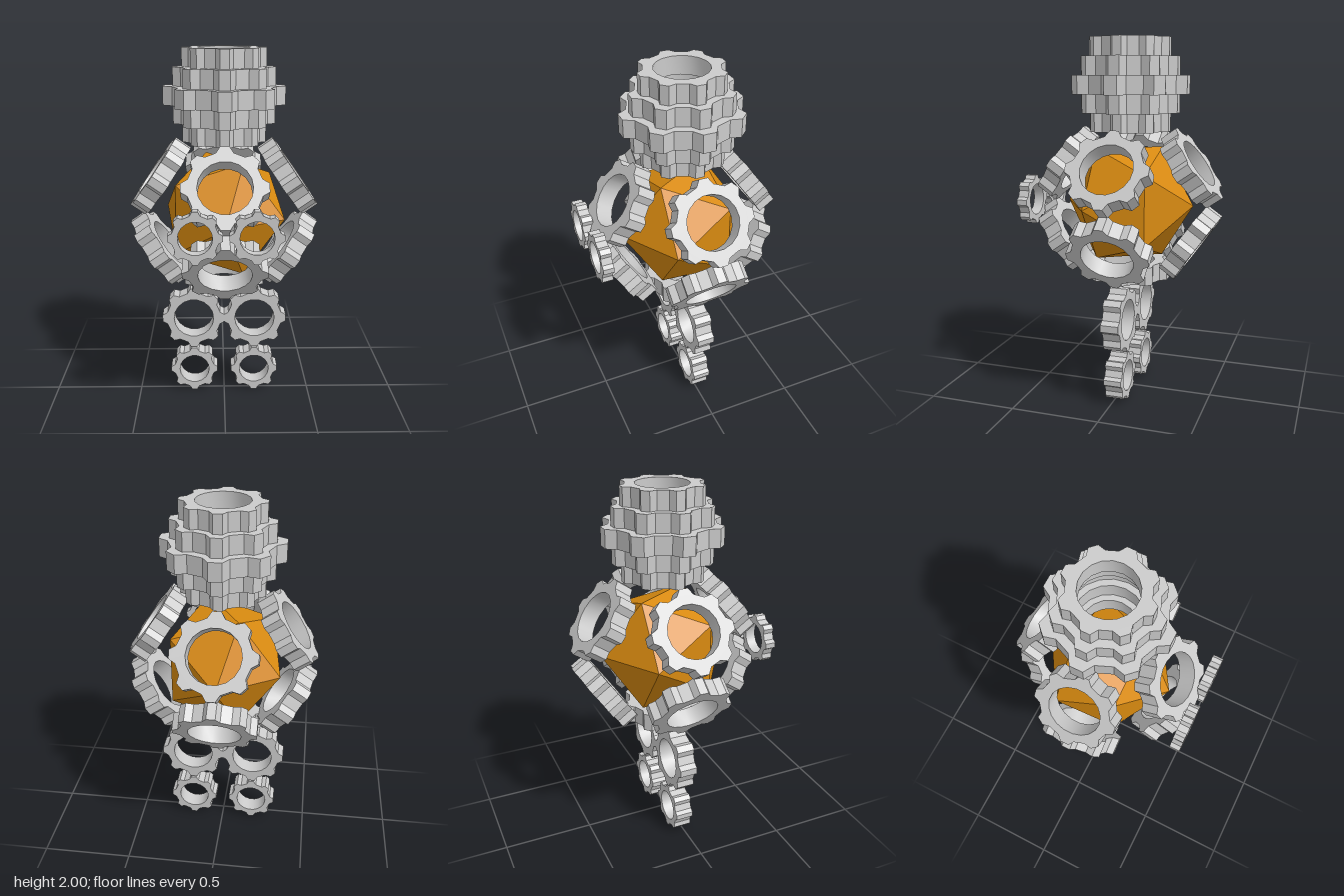
import * as THREE from 'three';
import { toCreasedNormals } from 'three/addons/utils/BufferGeometryUtils.js';

const grey = new THREE.MeshStandardMaterial({ color: 0xcccccc });
const orange = new THREE.MeshStandardMaterial({ color: 0xd88a10, flatShading: true });
const TEETH = 8;
const CY = 1.097, CZ = -0.018; // centre of the body

// Ring gear lying in the XY plane, its thickness centred on z = 0
function makeGear(name, radius, depth) {
  const shape = new THREE.Shape();
  const profile = [[-13.5, 0.86], [-6, 1], [6, 1], [13.5, 0.86]]; // degrees, radius factor
  const points = [];
  for (let i = 0; i < TEETH; i++) {
    for (const [deg, f] of profile) {
      const a = (i / TEETH) * Math.PI * 2 + THREE.MathUtils.degToRad(deg);
      points.push(new THREE.Vector2(Math.cos(a) * radius * f, Math.sin(a) * radius * f));
    }
  }
  shape.setFromPoints(points);
  const hole = new THREE.Path();
  hole.absarc(0, 0, radius * 0.63, 0, Math.PI * 2, true);
  shape.holes.push(hole);
  const geo = new THREE.ExtrudeGeometry(shape, { depth, bevelEnabled: false, curveSegments: 9 });
  geo.translate(0, 0, -depth / 2);
  const mesh = new THREE.Mesh(toCreasedNormals(geo, 0.45), grey);
  mesh.name = name;
  return mesh;
}

export function createModel() {
  const model = new THREE.Group();
  model.name = 'gearFigure';

  // Faceted core with one corner facing forward
  const coreGeo = new THREE.IcosahedronGeometry(0.365, 0);
  coreGeo.rotateX(Math.atan(2 / (1 + Math.sqrt(5))));
  coreGeo.rotateZ(Math.PI / 2);
  const core = new THREE.Mesh(coreGeo, orange);
  core.name = 'core';
  core.position.set(0, CY, CZ);
  model.add(core);

  // Cage: an upper and a lower tilted gear on each of four sides
  const cage = new THREE.Group();
  cage.name = 'bodyCage';
  cage.position.set(0, CY, CZ);
  const tilt = THREE.MathUtils.degToRad(35);
  for (let i = 0; i < 4; i++) {
    const side = new THREE.Group();
    side.name = 'cageSide';
    side.rotation.y = (i * Math.PI) / 2;
    for (const s of [1, -1]) {
      const gear = makeGear(s > 0 ? 'upperBodyGear' : 'lowerBodyGear', 0.227, 0.1);
      gear.position.set(0, s * 0.208, 0.354);
      gear.rotation.x = -s * tilt;
      side.add(gear);
    }
    cage.add(side);
  }
  model.add(cage);

  // Flat gear closing the bottom of the cage
  const base = makeGear('bottomBodyGear', 0.227, 0.1);
  base.rotation.x = -Math.PI / 2;
  base.position.set(0, 0.72, CZ);
  model.add(base);

  // Head: five stacked gears, widest in the middle
  const head = new THREE.Group();
  head.name = 'head';
  [0.227, 0.276, 0.33, 0.276, 0.227].forEach((r, i) => {
    const gear = makeGear('headGear', r, 0.1);
    gear.rotation.x = -Math.PI / 2;
    gear.position.set(0, 1.55 + i * 0.1, CZ);
    head.add(gear);
  });
  model.add(head);

  // Paired chest gears and legs
  for (const s of [1, -1]) {
    const label = s > 0 ? 'left' : 'right';

    const chest = makeGear(label + 'ChestGear', 0.137, 0.058);
    chest.position.set(s * 0.153 + 0.003, 1.116, 0.509);
    model.add(chest);

    const leg = new THREE.Group();
    leg.name = label + 'Leg';
    const thigh = makeGear('upperLegGear', 0.183, 0.1);
    thigh.position.set(s * 0.177, 0.467, -0.016);
    const foot = makeGear('footGear', 0.138, 0.1);
    foot.position.set(s * 0.177, 0.138, -0.016);
    leg.add(thigh, foot);
    model.add(leg);
  }
  return model;
}
